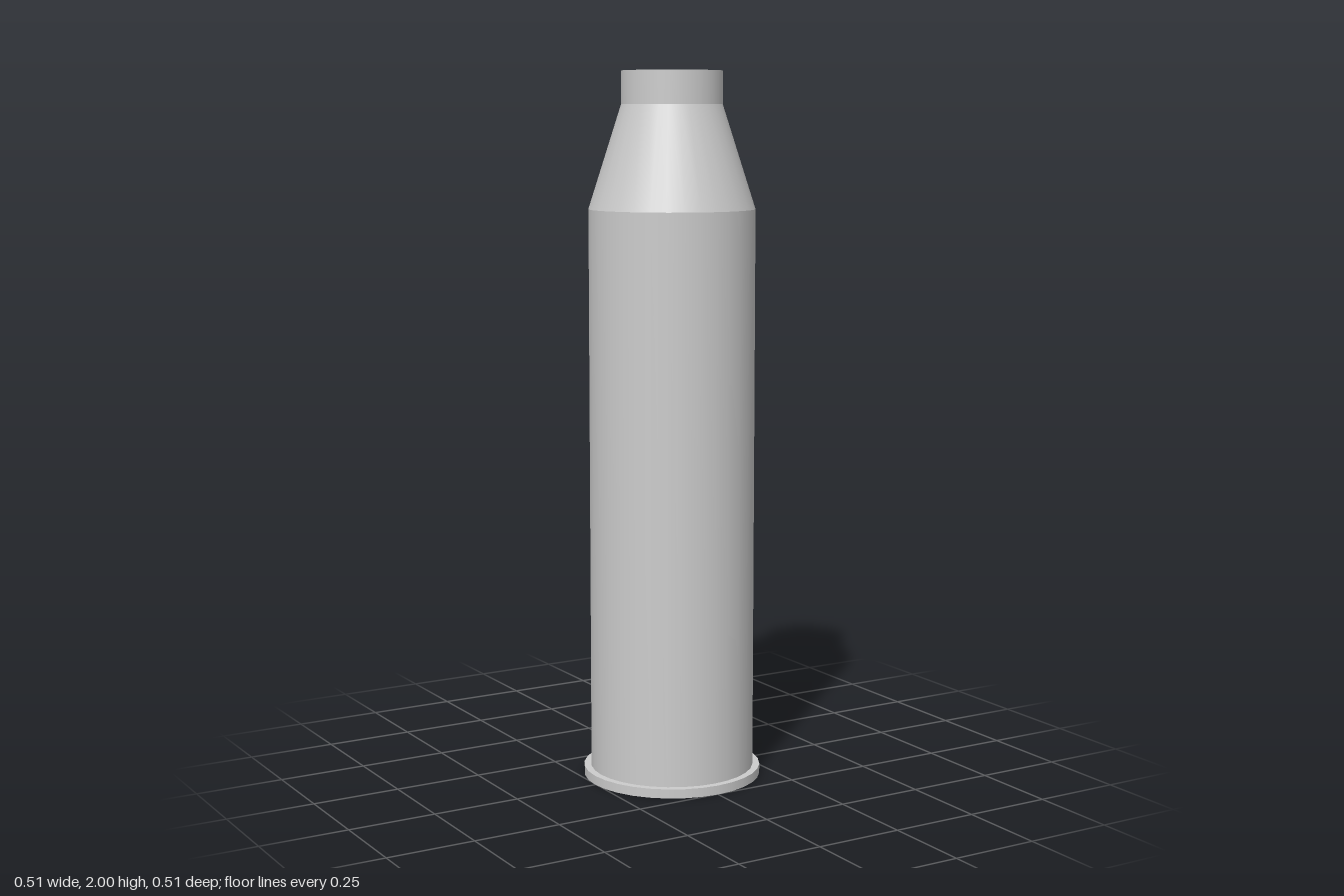
import * as THREE from 'three';
import { mergeGeometries } from 'three/addons/utils/BufferGeometryUtils.js';

const SIDES = 32;
const material = new THREE.MeshStandardMaterial({ color: 0xcccccc });

// Turns a profile of [radius, height] points, with a sharp edge at every point.
function turned(name, profile) {
  const bands = [];
  for (let i = 0; i < profile.length - 1; i++) {
    const ends = [profile[i], profile[i + 1]].map(([r, y]) => new THREE.Vector2(r, y));
    bands.push(new THREE.LatheGeometry(ends, SIDES));
  }
  const mesh = new THREE.Mesh(mergeGeometries(bands), material);
  mesh.name = name;
  return mesh;
}

export function createModel() {
  const group = new THREE.Group();
  group.name = 'cartridgeCase';

  // Primer disc and the groove around it, on the underside
  group.add(turned('primer', [[0, 0], [0.131, 0], [0.131, 0.015], [0.154, 0.015], [0.154, 0]]));

  // Base flange
  group.add(turned('baseRim', [[0.154, 0], [0.253, 0], [0.253, 0.026], [0.233, 0.026]]));

  // Straight body, tapered shoulder, neck and the thin lip
  group.add(turned('outerWall', [[0.233, 0.026], [0.233, 1.62], [0.141, 1.908], [0.141, 2], [0.135, 2]]));

  // Hollow inside, down to the floor
  group.add(turned('innerWall', [[0.135, 2], [0.135, 1.907], [0.227, 1.619], [0.227, 0.03], [0, 0.03]]));

  return group;
}
